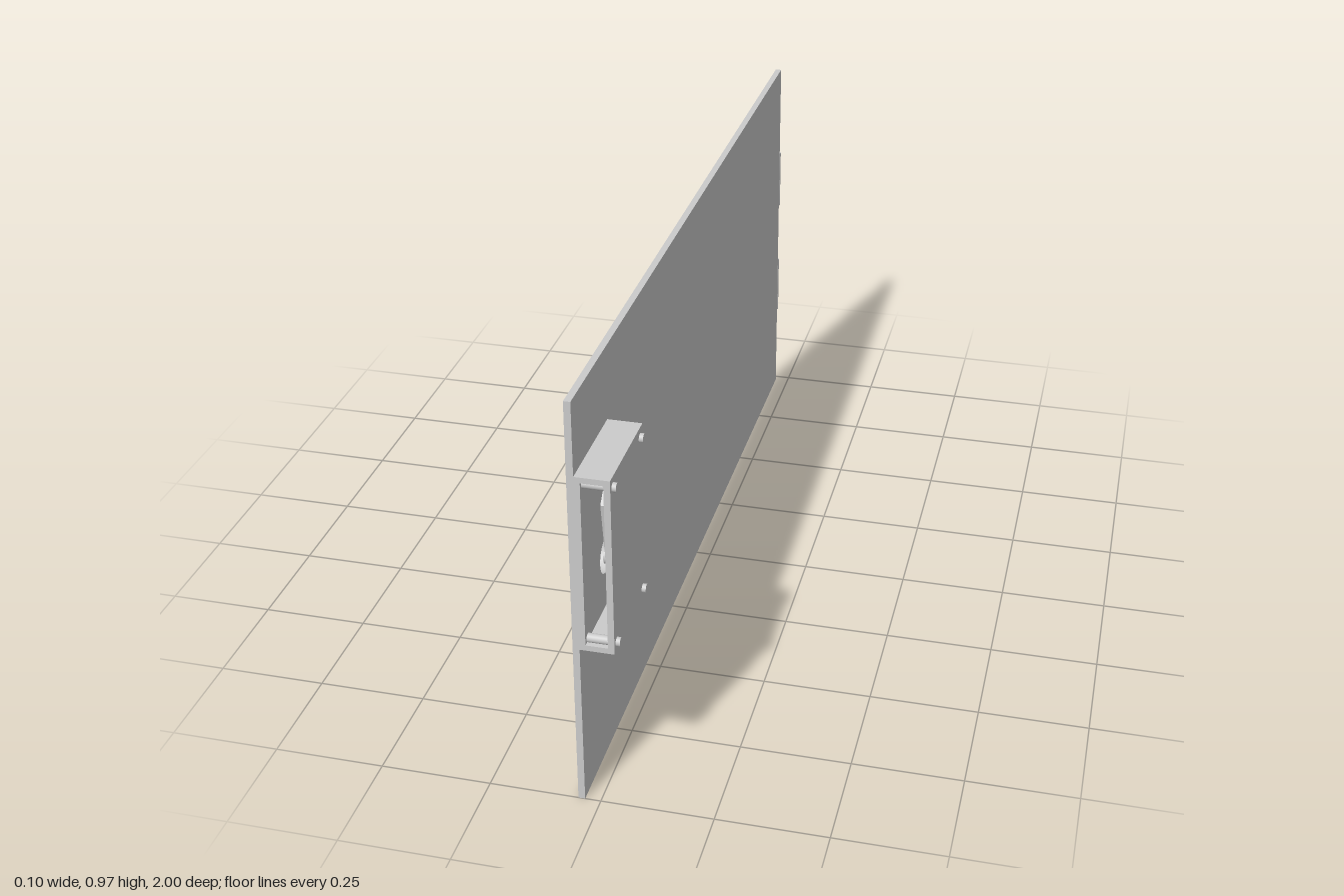
import * as THREE from 'three';

const material = new THREE.MeshStandardMaterial({ color: 0xcccccc });

export function createModel() {
  const model = new THREE.Group();
  model.name = 'doorWithLatch';

  const add = (parent, name, geometry) => {
    const mesh = new THREE.Mesh(geometry, material);
    mesh.name = name;
    parent.add(mesh);
    return mesh;
  };

  // box given by its minimum and maximum corners
  const box = (parent, name, [x0, y0, z0], [x1, y1, z1]) =>
    add(parent, name, new THREE.BoxGeometry(x1 - x0, y1 - y0, z1 - z0)
      .translate((x0 + x1) / 2, (y0 + y1) / 2, (z0 + z1) / 2));

  // (z, y) outline extruded from x0 to x1
  const plate = (parent, name, shape, x0, x1) =>
    add(parent, name, new THREE.ExtrudeGeometry(shape, { depth: x1 - x0, bevelEnabled: false, curveSegments: 32 })
      .rotateY(-Math.PI / 2).translate(x1, 0, 0));

  // cylinder lying along x
  const rod = (parent, name, r, x0, x1, y, z) =>
    add(parent, name, new THREE.CylinderGeometry(r, r, x1 - x0, 24)
      .rotateZ(Math.PI / 2).translate((x0 + x1) / 2, y, z));

  const hub = { z: 0.84, y: 0.525 };

  // rectangle in (z, y) with the round key opening
  const piercedRect = (z0, y0, z1, y1) => {
    const shape = new THREE.Shape([[z0, y0], [z1, y0], [z1, y1], [z0, y1]].map(p => new THREE.Vector2(...p)));
    shape.holes.push(new THREE.Path().absarc(hub.z, hub.y, 0.042, 0, Math.PI * 2, true));
    return shape;
  };

  // door panel
  plate(model, 'doorPanel', piercedRect(-0.98, 0, 1, 0.97), -0.05, -0.035);

  // hinges on the rear edge
  for (const y of [0.31, 0.64]) {
    const hinge = new THREE.Group();
    hinge.name = 'hinge';
    add(hinge, 'hingeBarrel', new THREE.CylinderGeometry(0.0075, 0.0075, 0.16, 20).translate(-0.042, y, -0.9925));
    box(hinge, 'hingeLeaf', [-0.047, y - 0.08, -0.992], [-0.037, y + 0.08, -0.98]);
    model.add(hinge);
  }

  // hollow latch case, open to the front
  const latchCase = new THREE.Group();
  latchCase.name = 'latchCase';
  model.add(latchCase);
  plate(latchCase, 'innerWall', piercedRect(0.76, 0.39, 1, 0.803), -0.035, -0.022);
  box(latchCase, 'outerWall', [0.026, 0.39, 0.76], [0.04, 0.803, 1]);
  box(latchCase, 'topWall', [-0.022, 0.79, 0.76], [0.026, 0.803, 1]);
  box(latchCase, 'bottomWall', [-0.022, 0.39, 0.76], [0.026, 0.403, 1]);
  box(latchCase, 'rearWall', [-0.022, 0.403, 0.76], [0.026, 0.79, 0.773]);

  // four pins through the case, ending in small heads
  for (const y of [0.411, 0.78]) {
    for (const z of [0.78, 0.982]) rod(latchCase, 'casePin', 0.01, -0.022, 0.049, y, z);
  }

  // pivoting latch arm with rounded hub and its spindle
  const arm = new THREE.Shape();
  arm.absarc(hub.z, hub.y, 0.06, Math.PI, Math.PI * 2, false);
  arm.lineTo(0.93, 0.7);
  arm.lineTo(0.88, 0.755);
  arm.lineTo(0.8, 0.7);
  arm.closePath();
  plate(model, 'latchArm', arm, -0.003, 0.026);
  rod(model, 'latchSpindle', 0.02, -0.022, -0.003, hub.y, hub.z);

  return model;
}
